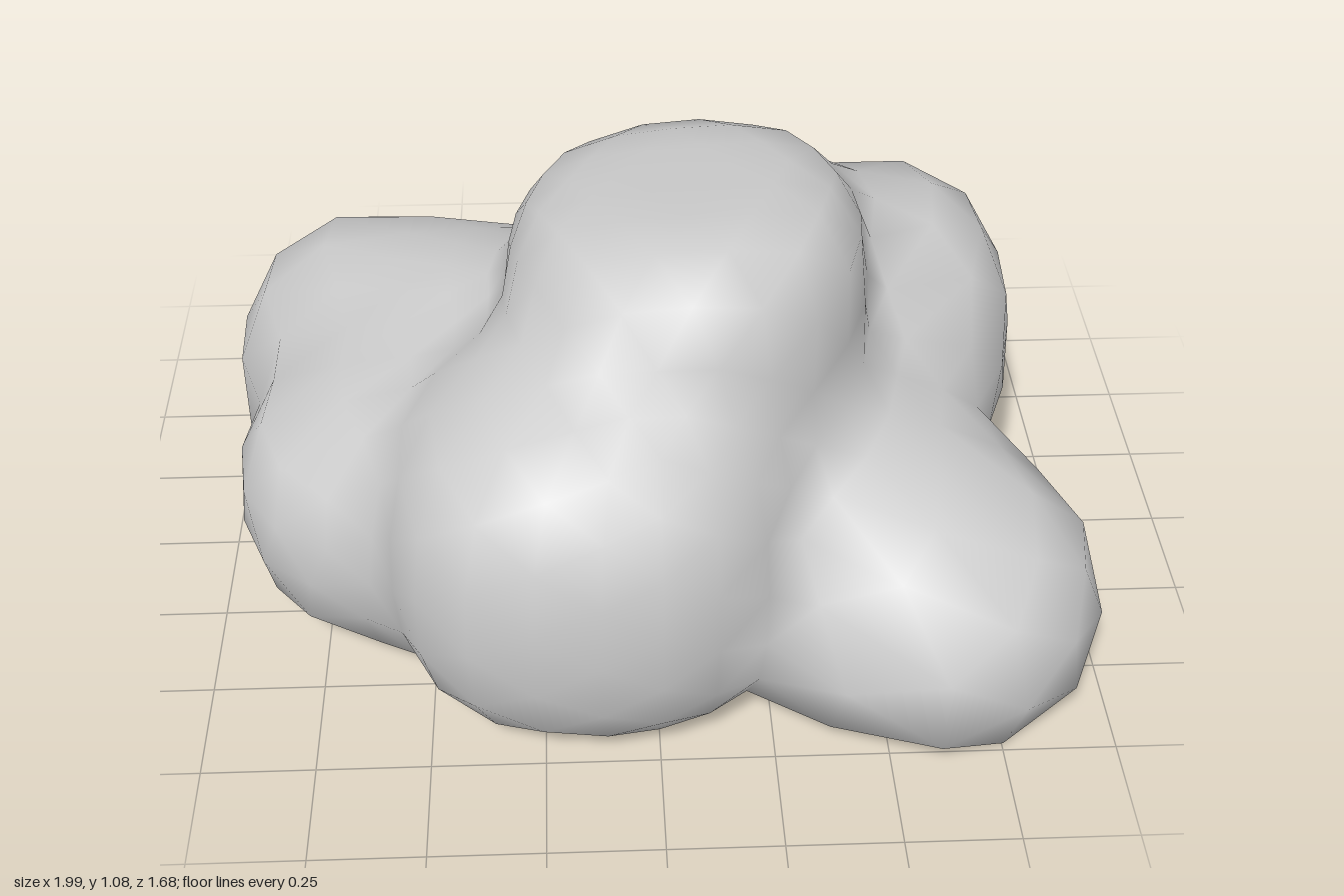
import * as THREE from 'three';
import { mergeVertices } from 'three/addons/utils/BufferGeometryUtils.js';

// Puffs: centre, radii, squareness in plan (n) and in height (m), rise along x and z
const PUFFS = [
  { c: [0.08, 0.62, 0.055], r: [0.40, 0.45, 0.455], n: 2.3, m: 5, rise: [0.07, 0.1] }, // crown
  { c: [-0.63, 0.28, -0.38], r: [0.37, 0.37, 0.35], n: 2.7, m: 2.1 },   // back, right-hand side
  { c: [0.09, 0.34, -0.48], r: [0.33, 0.31, 0.365], n: 2.6, m: 1.9 },   // back middle
  { c: [0.53, 0.47, -0.20], r: [0.34, 0.42, 0.325], n: 2.6, m: 2.3 },   // back, left-hand side
  { c: [0.61, 0.20, 0.44], r: [0.39, 0.35, 0.395], n: 2, m: 2.1 },      // front, left-hand side
  { c: [-0.14, 0.41, 0.42], r: [0.445, 0.425, 0.42], n: 2.5, m: 2.6 },  // front middle
  { c: [-0.58, 0.29, 0.11], r: [0.37, 0.32, 0.365], n: 2.1, m: 2.5 },   // right side
  { c: [-0.34, 0.40, -0.14], r: [0.41, 0.33, 0.43], n: 2, m: 2 },       // right shoulder
  { c: [0.36, 0.37, 0.16], r: [0.38, 0.33, 0.38], n: 2, m: 2 },         // left shoulder
  { c: [0, 0.26, 0], r: [0.70, 0.36, 0.58], n: 2.2, m: 3 },             // core
];
const CENTRE = new THREE.Vector3(0, 0.38, 0);
const BLEND = 0.28;
const FLOOR = 0.015;

// Below 1 inside the softly joined puffs, cut flat at the floor
function field(p) {
  let f = 9;
  for (const { c, r, n, m, rise = [0, 0] } of PUFFS) {
    const dx = p.x - c[0], dz = p.z - c[2];
    const dy = p.y - c[1] - rise[0] * dx - rise[1] * dz;
    const plan = Math.abs(dx / r[0]) ** n + Math.abs(dz / r[2]) ** n;
    const q = (plan ** (m / n) + Math.abs(dy / r[1]) ** m) ** (1 / m);
    const h = Math.max(BLEND - Math.abs(f - q), 0) / BLEND;
    f = Math.min(f, q) - h * h * BLEND / 4;
  }
  return Math.max(f, 1 + FLOOR - p.y);
}

// Outermost point of the lump along a direction from its middle
function surfacePoint(dir) {
  const p = new THREE.Vector3();
  const at = (t) => p.copy(CENTRE).addScaledVector(dir, t);
  let t = 1.5;
  while (t > 0.1 && field(at(t)) > 1) t -= 0.02;
  let lo = t, hi = t + 0.02;
  for (let i = 0; i < 10; i++) {
    const mid = (lo + hi) / 2;
    if (field(at(mid)) > 1) hi = mid; else lo = mid;
  }
  return at(lo);
}

// Coarse sphere pushed out to the puffs, with smooth normals
function lumpGeometry() {
  let geo = new THREE.IcosahedronGeometry(1, 6);
  geo.deleteAttribute('uv');
  geo.deleteAttribute('normal');
  geo = mergeVertices(geo, 1e-4);
  const pos = geo.attributes.position;
  const v = new THREE.Vector3();
  for (let i = 0; i < pos.count; i++) {
    const p = surfacePoint(v.fromBufferAttribute(pos, i).normalize());
    pos.setXYZ(i, p.x, p.y, p.z);
  }
  geo.computeVertexNormals();
  return geo;
}

export function createModel() {
  const group = new THREE.Group();
  group.name = 'cloud';
  const body = new THREE.Mesh(lumpGeometry(), new THREE.MeshStandardMaterial({ color: 0xcccccc }));
  body.name = 'cloudBody';
  group.add(body);
  return group;
}
